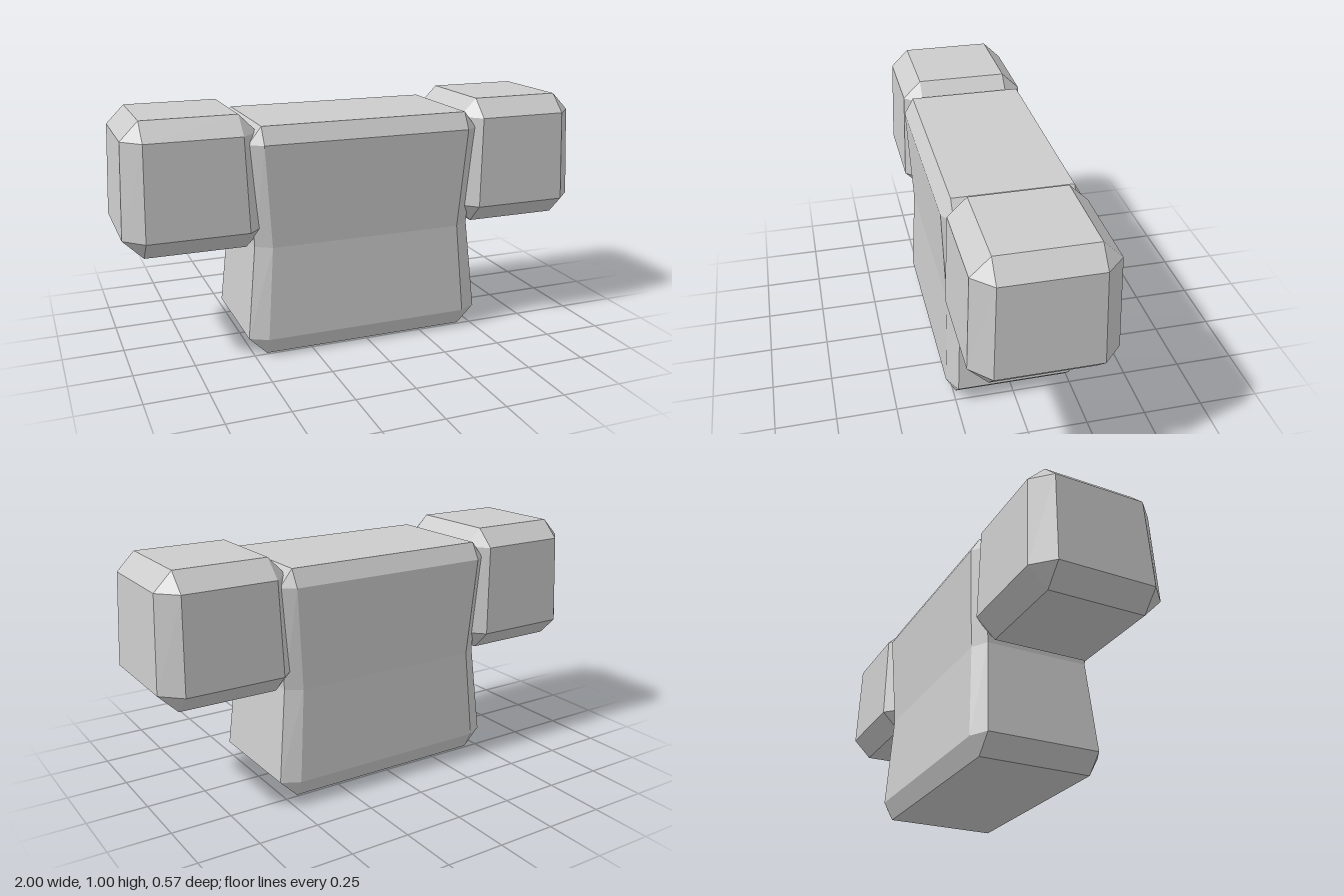
import * as THREE from 'three';

// Lofts octagonal rings [y, xOuter, xInner, zOuter, zInner] into a closed bevelled block
function bevelledBlock(levels) {
  const rings = levels.map(([y, xo, xi, zo, zi]) => [
    [-xi, zo], [xi, zo], [xo, zi], [xo, -zi],
    [xi, -zo], [-xi, -zo], [-xo, -zi], [-xo, zi],
  ].map(([x, z]) => new THREE.Vector3(x, y, z)));
  const positions = [];
  const addTriangle = (a, b, c) => {
    // rings that close to a rectangle have doubled corners; skip empty triangles
    if (new THREE.Triangle(a, b, c).getArea() < 1e-7) return;
    for (const p of [a, b, c]) positions.push(p.x, p.y, p.z);
  };
  for (let k = 0; k < rings.length - 1; k++) {
    const low = rings[k], high = rings[k + 1];
    for (let i = 0; i < 8; i++) {
      const j = (i + 1) % 8;
      addTriangle(low[i], low[j], high[j]);
      addTriangle(low[i], high[j], high[i]);
    }
  }
  // flat end caps
  const bottom = rings[0], top = rings[rings.length - 1];
  for (let i = 1; i < 7; i++) {
    addTriangle(bottom[0], bottom[i + 1], bottom[i]);
    addTriangle(top[0], top[i], top[i + 1]);
  }
  const geometry = new THREE.BufferGeometry();
  geometry.setAttribute('position', new THREE.Float32BufferAttribute(positions, 3));
  geometry.computeVertexNormals();
  return geometry;
}

export function createModel() {
  const group = new THREE.Group();
  group.name = 'upperBody';
  const material = new THREE.MeshStandardMaterial({ color: 0xcccccc, flatShading: true });

  // torso, pinched at the waist
  const torso = new THREE.Mesh(bevelledBlock([
    [0, 0.445, 0.445, 0.24, 0.24],
    [0.075, 0.52, 0.445, 0.28, 0.24],
    [0.465, 0.48, 0.415, 0.26, 0.22],
    [0.89, 0.50, 0.445, 0.28, 0.24],
    [0.96, 0.445, 0.445, 0.24, 0.24],
  ]), material);
  torso.name = 'torso';
  group.add(torso);

  // shoulders, slightly wider towards the bottom
  const shoulderGeometry = bevelledBlock([
    [0.465, 0.205, 0.205, 0.205, 0.205],
    [0.545, 0.285, 0.205, 0.284, 0.205],
    [0.93, 0.267, 0.193, 0.27, 0.193],
    [1.005, 0.193, 0.193, 0.193, 0.193],
  ]);
  for (const [name, side] of [['leftShoulder', 1], ['rightShoulder', -1]]) {
    const shoulder = new THREE.Mesh(shoulderGeometry, material);
    shoulder.name = name;
    shoulder.position.x = side * 0.715;
    group.add(shoulder);
  }
  return group;
}
